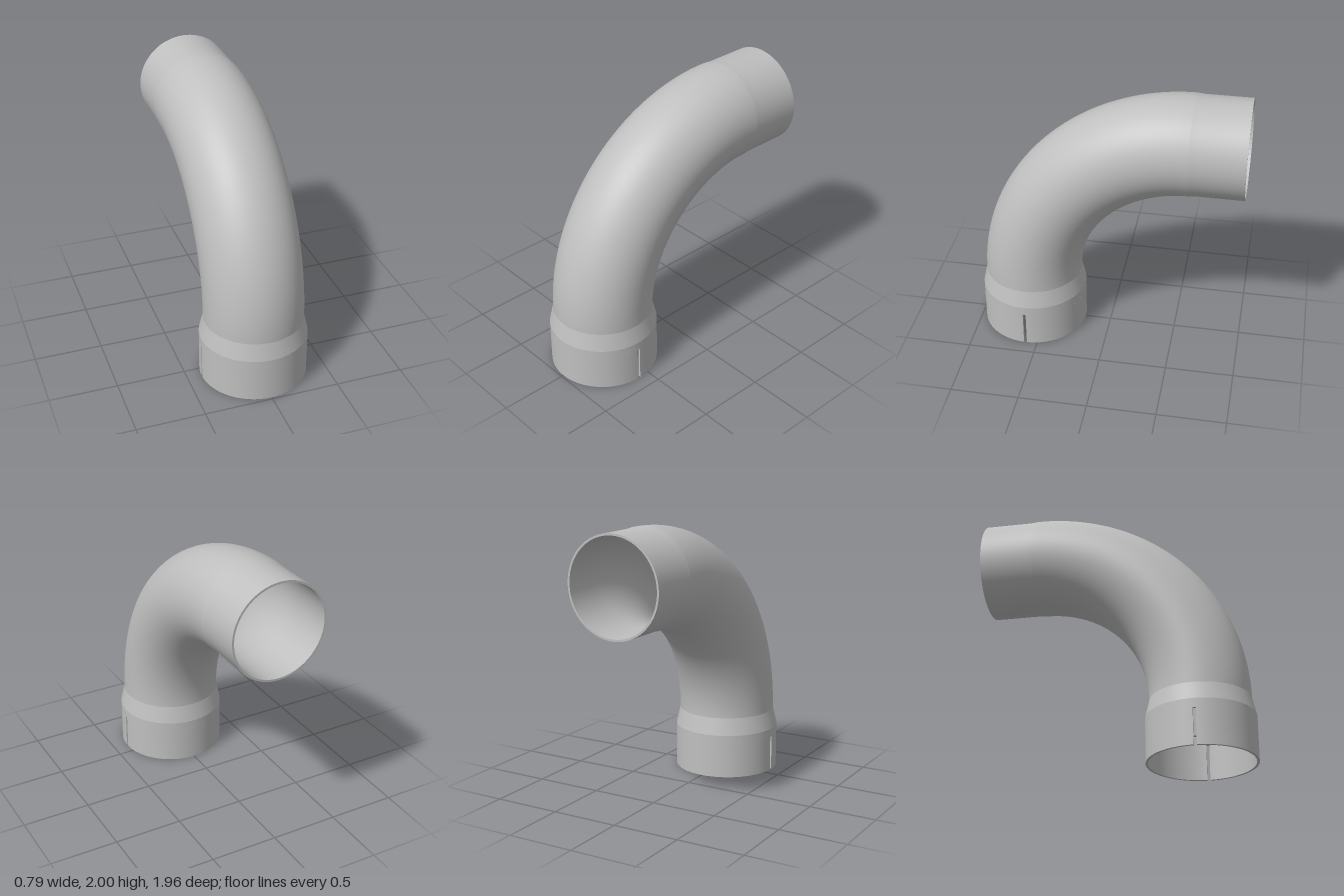
import * as THREE from 'three';
import { toCreasedNormals } from 'three/addons/utils/BufferGeometryUtils.js';

const SEG = 96;
const BEND_R = 1.177;            // centreline radius of the elbow
const PIPE_R = 0.363, BORE_R = 0.343;
const SOCKET_R = 0.393, SOCKET_BORE = 0.375;
const AXIS_Z = 0.59, BEND_Y = 0.46;
const SLOT_H = 0.265, SLOT_W = 0.022;

// Revolve a profile of [radius, height] pairs, keeping hard edges sharp
function revolve(profile) {
  const pts = profile.map(([r, y]) => new THREE.Vector2(r, y));
  return toCreasedNormals(new THREE.LatheGeometry(pts, SEG), 0.2);
}

// Half of the slotted collar: a C-shaped wall extruded upwards
function halfCollar() {
  const h = SLOT_W / 2;
  const a = Math.asin(h / SOCKET_R), b = Math.asin(h / SOCKET_BORE);
  const shape = new THREE.Shape();
  shape.absarc(0, 0, SOCKET_R, a, Math.PI - a, false);
  shape.absarc(0, 0, SOCKET_BORE, Math.PI - b, b, true);
  shape.closePath();
  const geo = new THREE.ExtrudeGeometry(shape, { depth: SLOT_H, bevelEnabled: false, curveSegments: SEG / 2 });
  geo.rotateX(-Math.PI / 2);
  return toCreasedNormals(geo, 0.2);
}

export function createModel() {
  const model = new THREE.Group();
  const steel = new THREE.MeshStandardMaterial({ color: 0xbfbfbf, side: THREE.DoubleSide });
  steel.name = 'grey steel';

  const add = (name, geometry, x, y, z) => {
    const mesh = new THREE.Mesh(geometry, steel);
    mesh.name = name;
    mesh.position.set(x, y, z);
    model.add(mesh);
    return mesh;
  };

  // Slotted lower collar, one half in front and one behind the slots
  const collar = halfCollar();
  add('collarBack', collar, 0, 0, AXIS_Z);
  add('collarFront', collar, 0, 0, AXIS_Z).rotation.y = Math.PI;

  // Upper socket with tapered shoulder and inner stop ledge
  add('socketShoulder', revolve([
    [SOCKET_BORE, SLOT_H], [SOCKET_R, SLOT_H], [SOCKET_R, 0.33], [PIPE_R, BEND_Y],
    [BORE_R, BEND_Y], [BORE_R, 0.33], [SOCKET_BORE, 0.33], [SOCKET_BORE, SLOT_H],
  ]), 0, 0, AXIS_Z);

  // Quarter-turn elbow, outer and inner skin
  for (const [name, r] of [['elbowOuter', PIPE_R], ['elbowInner', BORE_R]]) {
    const geo = new THREE.TorusGeometry(BEND_R, r, SEG, 64, Math.PI / 2);
    geo.rotateY(-Math.PI / 2);
    add(name, geo, 0, BEND_Y, AXIS_Z - BEND_R);
  }

  // Straight outlet, slightly narrower than the elbow
  const outlet = revolve([
    [PIPE_R, 0], [0.358, 0.05], [0.358, 0.393], [BORE_R, 0.393], [BORE_R, 0],
  ]);
  outlet.rotateX(-Math.PI / 2);
  add('outlet', outlet, 0, BEND_Y + BEND_R, AXIS_Z - BEND_R);

  return model;
}
